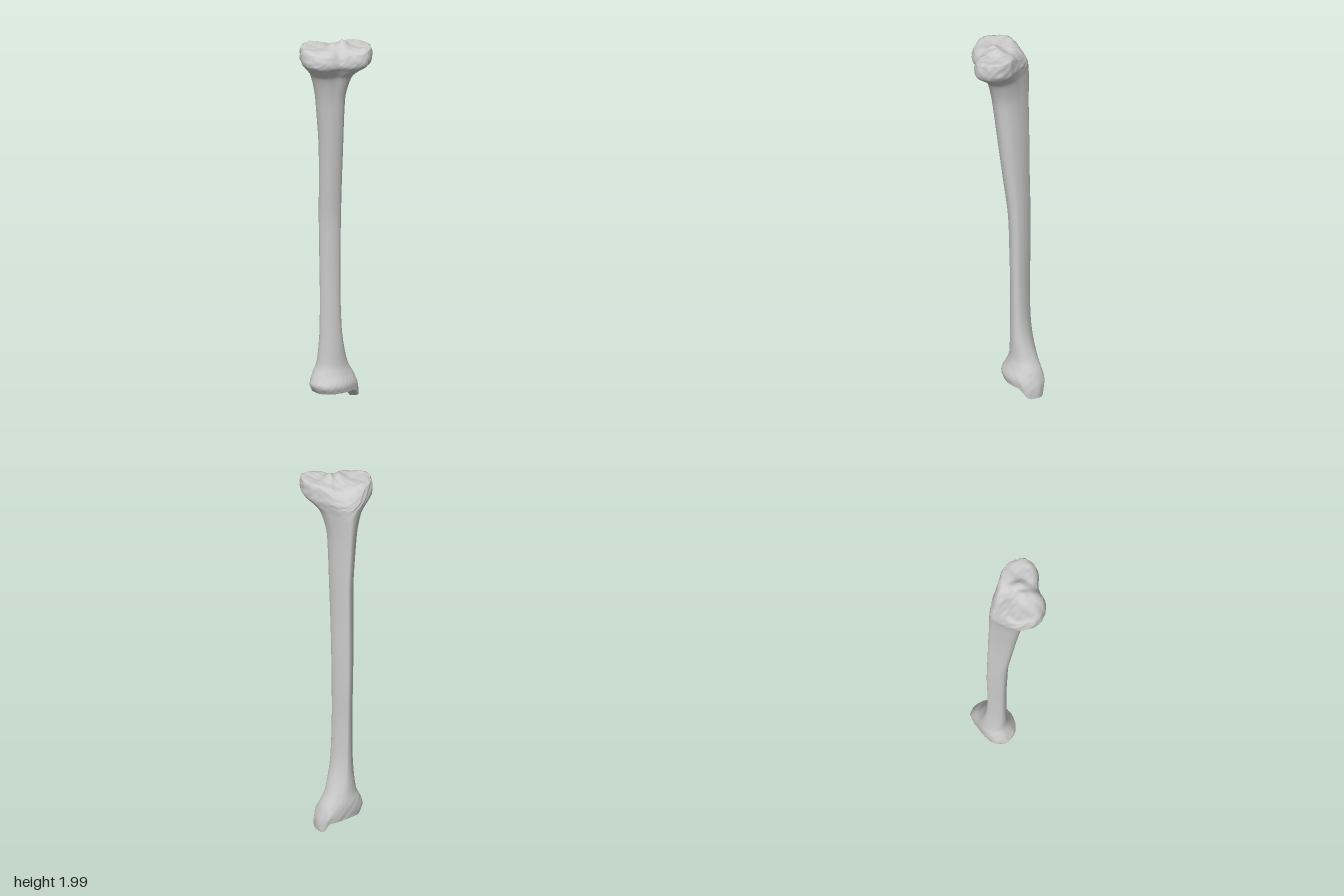
import * as THREE from 'three';

const SIDES = 80;
const step = THREE.MathUtils.smoothstep;
const lerp = THREE.MathUtils.lerp;
const bump = (x, z, cx, cz, rx, rz) => Math.exp(-(((x - cx) / rx) ** 2) - ((z - cz) / rz) ** 2);

// Cross-section outlines (x, z), all starting at the crest and running the same way round
const PLATEAU = [[-0.065, -0.105], [0, -0.09], [0.08, -0.045], [0.14, -0.01], [0.178, 0.05], [0.18, 0.11],
  [0.15, 0.163], [0.09, 0.175], [0.02, 0.163], [-0.05, 0.185], [-0.12, 0.17], [-0.17, 0.125],
  [-0.183, 0.06], [-0.172, 0], [-0.14, -0.05], [-0.105, -0.085]];
const SHAFT = [[-0.045, -0.115], [-0.02, -0.105], [0.005, -0.088], [0.022, -0.071], [0.035, -0.05], [0.036, -0.035],
  [0.03, -0.02], [0.015, -0.008], [-0.005, -0.001], [-0.025, 0], [-0.045, -0.006], [-0.062, -0.016],
  [-0.073, -0.03], [-0.075, -0.045], [-0.07, -0.07], [-0.06, -0.1]];
const ANKLE = [[-0.03, -0.155], [0.02, -0.178], [0.075, -0.187], [0.115, -0.16], [0.135, -0.11], [0.125, -0.07],
  [0.1, -0.035], [0.07, -0.005], [0.04, 0.015], [0, 0.028], [-0.04, 0.03], [-0.075, 0.02],
  [-0.105, -0.005], [-0.122, -0.04], [-0.116, -0.085], [-0.08, -0.125]];

// Levels: y, xMin, xMax, zMin, zMax, plateau weight, ankle weight
const LEVELS = [
  [0.06, -0.108, 0.132, -0.178, 0.02, 0, 1],
  [0.1, -0.122, 0.128, -0.18, 0.034, 0, 1],
  [0.15, -0.108, 0.1, -0.17, 0.012, 0, 0.85],
  [0.2, -0.088, 0.076, -0.155, -0.004, 0, 0.65],
  [0.3, -0.076, 0.054, -0.13, -0.008, 0, 0.3],
  [0.4, -0.071, 0.042, -0.117, -0.01, 0, 0.12],
  [0.6, -0.07, 0.035, -0.111, -0.01, 0, 0],
  [0.8, -0.073, 0.035, -0.115, -0.006, 0, 0],
  [1.0, -0.076, 0.037, -0.115, 0.001, 0, 0],
  [1.2, -0.077, 0.04, -0.111, 0.025, 0, 0],
  [1.4, -0.08, 0.045, -0.109, 0.05, 0, 0],
  [1.6, -0.094, 0.05, -0.106, 0.075, 0.08, 0],
  [1.7, -0.104, 0.058, -0.106, 0.09, 0.2, 0],
  [1.8, -0.127, 0.09, -0.106, 0.118, 0.5, 0],
  [1.84, -0.15, 0.125, -0.104, 0.148, 0.75, 0],
  [1.88, -0.176, 0.172, -0.1, 0.178, 0.95, 0],
  [1.92, -0.183, 0.183, -0.096, 0.184, 1, 0],
  [1.96, -0.176, 0.178, -0.085, 0.174, 1, 0],
];

// Smooth closed outline, scaled to run from 0 to 1 in both directions
function unitOutline(points) {
  const curve = new THREE.CatmullRomCurve3(points.map(([x, z]) => new THREE.Vector3(x, 0, z)), true);
  const ring = Array.from({ length: SIDES }, (_, j) => curve.getPoint(j / SIDES));
  const box = new THREE.Box3().setFromPoints(ring);
  const size = box.getSize(new THREE.Vector3());
  return ring.map(p => [(p.x - box.min.x) / size.x, (p.z - box.min.z) / size.z]);
}

// Level values at height y by a smooth cubic through the levels
function levelAt(y) {
  let i = 0;
  while (i < LEVELS.length - 2 && y > LEVELS[i + 1][0]) i++;
  const a = LEVELS[i], b = LEVELS[i + 1], h = b[0] - a[0], t = (y - a[0]) / h;
  const slope = (k, c) => {
    const p = LEVELS[Math.max(k - 1, 0)], n = LEVELS[Math.min(k + 1, LEVELS.length - 1)];
    return (n[c] - p[c]) / (n[0] - p[0]);
  };
  return a.map((_, c) => {
    const m0 = slope(i, c) * h, m1 = slope(i + 1, c) * h;
    return a[c] * (1 + 2 * t) * (1 - t) ** 2 + m0 * t * (1 - t) ** 2 + b[c] * t * t * (3 - 2 * t) + m1 * t * t * (t - 1);
  });
}

// Upper joint surface: two shallow dishes, a central spine, falling away at the crest side
function topHeight(x, z) {
  return 1.97 + 0.008 * step(x, 0.04, 0.1)
    + 0.03 * bump(x, z, 0.035, 0.06, 0.022, 0.04) + 0.022 * bump(x, z, -0.015, 0.075, 0.022, 0.03)
    - 0.012 * bump(x, z, 0.11, 0.08, 0.05, 0.07) - 0.01 * bump(x, z, -0.09, 0.08, 0.06, 0.07)
    - 0.025 * bump(x, z, 0.02, 0.16, 0.03, 0.04) - 0.02 * bump(x, z, -0.01, -0.01, 0.05, 0.035)
    - 0.06 * (1 - step(z, -0.1, -0.01)) - 0.02 * step(z, 0.12, 0.18);
}

// Lower joint surface: a hollow with one long knob at the inner side
function bottomHeight(x, z) {
  const knob = step(x, 0.05, 0.095) * (1 - step(z, -0.115, -0.04));
  const hollow = 0.02 * bump(x, z, 0, -0.07, 0.07, 0.06);
  return lerp(0.058 + hollow, 0.008, knob);
}

// Fine uneven texture, stronger at the two ends
function roughness(x, y, z) {
  const ends = Math.max(1 - step(y, 0.04, 0.22), step(y, 1.8, 1.9));
  return (0.0003 + 0.0018 * ends) * (Math.sin(71 * x + 43 * y + 3) * Math.sin(83 * z - 57 * y)
    + 0.7 * Math.sin(160 * x - 90 * z) * Math.sin(140 * y + 60 * z));
}

function boneGeometry() {
  const outlines = [SHAFT, PLATEAU, ANKLE].map(unitOutline);
  const ringAt = y => {
    const [, x0, x1, z0, z1, p, a] = levelAt(y);
    const w = [1 - p - a, p, a];
    return Array.from({ length: SIDES }, (_, j) => {
      const mix = c => outlines.reduce((s, o, k) => s + w[k] * o[j][c], 0);
      return [lerp(x0, x1, mix(0)), lerp(z0, z1, mix(1))];
    });
  };
  // Rings shrinking to the middle, with a rounded rim
  const cap = (y, cx, cz, height, rim) => [0.99, 0.97, 0.94, 0.89, 0.83, 0.76, 0.68, 0.6, 0.51, 0.42, 0.33, 0.24, 0.15, 0.07, 0]
    .map(s => ringAt(y).map(([x, z]) => {
      const px = lerp(cx, x, s), pz = lerp(cz, z, s);
      return [px, height(px, pz) + rim * (1 - step(s, 0.88, 1)), pz];
    }));

  const rows = cap(0.06, 0.005, -0.075, bottomHeight, -0.004).reverse();
  const heights = [];
  for (let y = 0.06; y < 0.22; y += 0.008) heights.push(y);
  for (let y = 0.22; y < 1.78; y += 0.03) heights.push(y);
  for (let y = 1.78; y < 1.955; y += 0.008) heights.push(y);
  heights.push(1.96);
  for (const y of heights) {
    rows.push(ringAt(y).map(([x, z]) => {
      let h = y;
      if (y < 0.14) h = lerp(bottomHeight(x, z), 0.14, (y - 0.06) / 0.08);
      if (y > 1.86) h = lerp(1.86, topHeight(x, z) - 0.01, (y - 1.86) / 0.1);
      const r = 1 + 8 * roughness(x, y, z);
      const mx = y > 1.7 || y < 0.2 ? 0 : -0.02, mz = y > 1.7 ? 0.04 : -0.07;
      const k = y > 1.7 || y < 0.2 ? r : 1;
      return [mx + (x - mx) * k, h, mz + (z - mz) * k];
    }));
  }
  rows.push(...cap(1.96, 0.01, 0.05, (x, z) => topHeight(x, z) - 0.01 + roughness(x, 2, z), 0.008));

  const index = [];
  for (let i = 0; i < rows.length - 1; i++) {
    for (let j = 0; j < SIDES; j++) {
      const n = (j + 1) % SIDES, a = i * SIDES + j, b = i * SIDES + n;
      index.push(a, a + SIDES, b, b, a + SIDES, b + SIDES);
    }
  }
  const geometry = new THREE.BufferGeometry();
  geometry.setAttribute('position', new THREE.Float32BufferAttribute(rows.flat(2), 3));
  geometry.setIndex(index);
  geometry.computeVertexNormals();
  return geometry;
}

export function createModel() {
  const group = new THREE.Group();
  group.name = 'shinBone';
  const bone = new THREE.Mesh(boneGeometry(), new THREE.MeshStandardMaterial({ color: 0xcccccc }));
  bone.name = 'bone';
  group.add(bone);
  return group;
}
